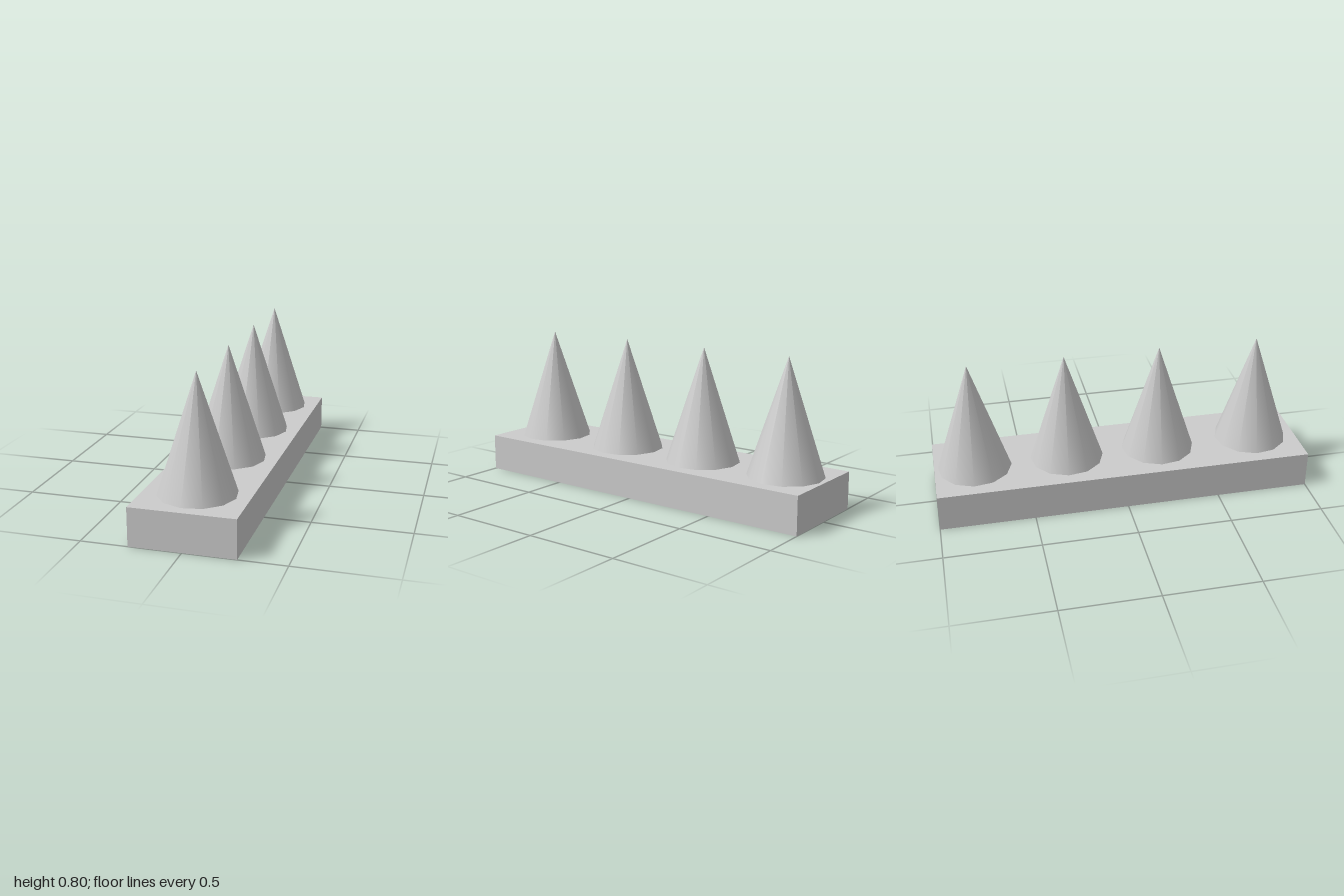
import * as THREE from 'three';

export function createModel() {
  const model = new THREE.Group();
  const grey = new THREE.MeshStandardMaterial({ color: 0xcccccc });
  const baseHeight = 0.197;
  const spikeHeight = 0.6;

  // Long flat slab
  const base = new THREE.Mesh(new THREE.BoxGeometry(0.526, baseHeight, 2), grey);
  base.name = 'base';
  base.position.y = baseHeight / 2;
  model.add(base);

  // Row of four slightly uneven spaced spikes, each turned a few degrees
  const spikeGeometry = new THREE.ConeGeometry(0.196, spikeHeight, 12);
  [0.75, 0.217, -0.288, -0.785].forEach((z, i) => {
    const spike = new THREE.Mesh(spikeGeometry, grey);
    spike.name = `spike${i + 1}`;
    spike.position.set(0, baseHeight + spikeHeight / 2, z);
    spike.rotation.y = -0.1;
    model.add(spike);
  });

  return model;
}
